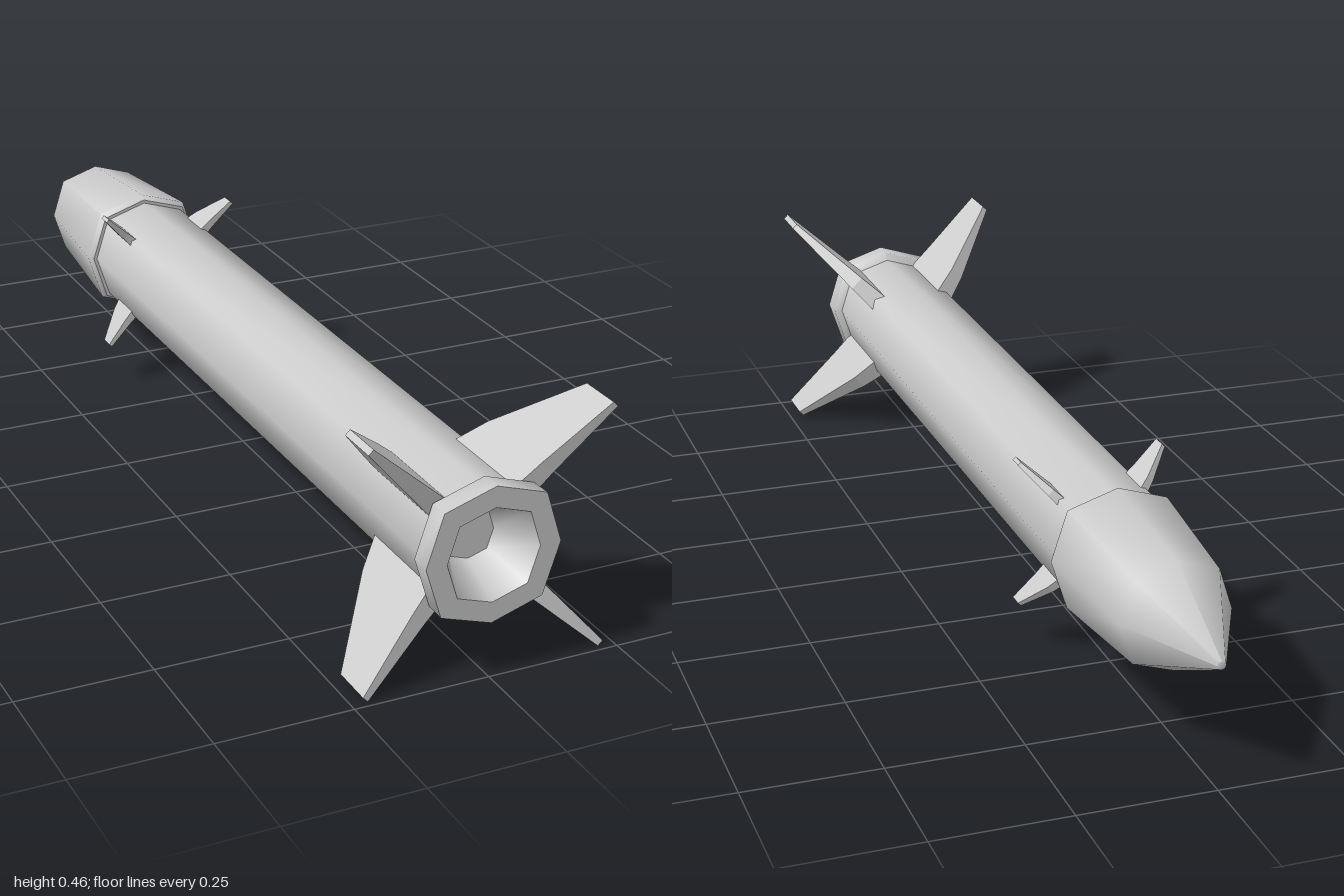
import * as THREE from 'three';
import { toCreasedNormals } from 'three/addons/utils/BufferGeometryUtils.js';

const AXIS_Y = 0.23;
const SIDES = 8;
const DIAGONAL = 1.07; // the octagon bulges a little at its diagonal corners

const material = new THREE.MeshStandardMaterial({ color: 0xcccccc });
const flatMaterial = new THREE.MeshStandardMaterial({ color: 0xcccccc, flatShading: true });

// Eight-sided turned part along z; profile is [radius, z], from the tail of -z to +z
function turned(name, profile) {
  const lathe = new THREE.LatheGeometry(profile.map(([r, z]) => new THREE.Vector2(r, z)), SIDES);
  const p = lathe.attributes.position;
  for (let i = 0; i < p.count; i++) {
    const x = p.getX(i), z = p.getZ(i);
    const diagonal = Math.min(Math.abs(x), Math.abs(z)) > 1e-4;
    if (diagonal) p.setXYZ(i, x * DIAGONAL, p.getY(i), z * DIAGONAL);
  }
  lathe.rotateX(Math.PI / 2);
  const mesh = new THREE.Mesh(toCreasedNormals(lathe, 1.0), material);
  mesh.name = name;
  return mesh;
}

// Tapered fin pointing along +y; stations are [radius, zLeading, zTrailing, thickness]
function finGeometry(stations) {
  const geometry = new THREE.BoxGeometry(1, 2, 1, 1, 2, 1);
  const p = geometry.attributes.position;
  for (let i = 0; i < p.count; i++) {
    const [r, lead, trail, thick] = stations[Math.round(p.getY(i) + 1)];
    p.setXYZ(i, p.getX(i) * thick, r, p.getZ(i) < 0 ? lead : trail);
  }
  geometry.computeVertexNormals();
  return geometry;
}

// Four copies of a fin on the diagonals
function finSet(name, stations) {
  const set = new THREE.Group();
  set.name = name + 's';
  const geometry = finGeometry(stations);
  for (let k = 0; k < 4; k++) {
    const fin = new THREE.Mesh(geometry, flatMaterial);
    fin.name = name;
    fin.rotation.z = Math.PI / 4 + k * Math.PI / 2;
    set.add(fin);
  }
  return set;
}

export function createModel() {
  const model = new THREE.Group();
  model.name = 'rocket';
  const rocket = new THREE.Group();
  rocket.name = 'rocketBody';
  rocket.position.y = AXIS_Y;
  model.add(rocket);

  // Pointed nose with a bevelled lip overhanging the body
  rocket.add(turned('noseCone', [
    [0, -1], [0.008, -0.998], [0.102, -0.805], [0.125, -0.527], [0.117, -0.515], [0.1, -0.515],
  ]));

  // Long straight tube
  rocket.add(turned('bodyTube', [[0.11, -0.53], [0.11, 0.955]]));

  // Tail collar with the recessed nozzle
  rocket.add(turned('nozzleCollar', [
    [0.108, 0.945], [0.125, 0.958], [0.126, 1], [0.087, 1], [0.047, 0.915], [0, 0.915],
  ]));

  // Large swept fins at the tail
  rocket.add(finSet('tailFin', [
    [0.105, 0.75, 0.952, 0.04],
    [0.165, 0.782, 0.96, 0.032],
    [0.317, 0.905, 0.988, 0.0126],
  ]));

  // Small steering fins behind the nose
  rocket.add(finSet('steeringFin', [
    [0.105, -0.457, -0.378, 0.018],
    [0.135, -0.443, -0.377, 0.015],
    [0.197, -0.397, -0.368, 0.008],
  ]));

  return model;
}
